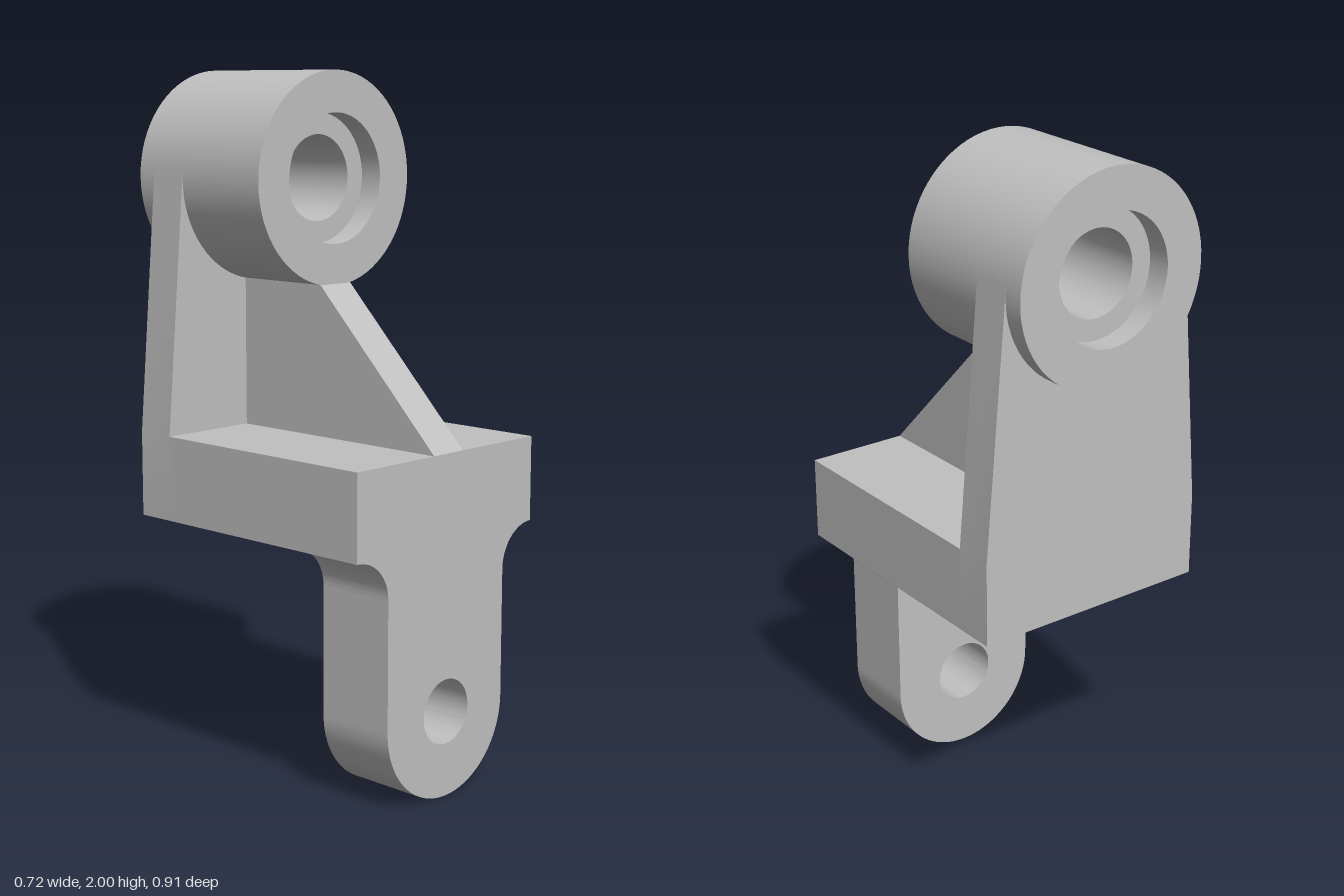
import * as THREE from 'three';
import { toCreasedNormals } from 'three/addons/utils/BufferGeometryUtils.js';

const HUB_Y = 1.7, HUB_R = 0.3, HUB_BACK = -0.455, HUB_FRONT = 0.03;
const HALF_W = 0.362, SHELF_BOTTOM = 0.73, SHELF_TOP = 0.975;
const PLATE_BACK = -0.395, PLATE_FRONT = -0.275, FRONT = 0.455;

export function createModel() {
  const group = new THREE.Group();
  const metal = new THREE.MeshStandardMaterial({ color: 0xc0c0c0 });
  metal.name = 'grey metal';

  const add = (name, geometry) => {
    const mesh = new THREE.Mesh(toCreasedNormals(geometry, 0.5), metal);
    mesh.name = name;
    group.add(mesh);
    return mesh;
  };
  // Extrude an x/y outline between two z depths
  const extrude = (shape, z0, z1) =>
    new THREE.ExtrudeGeometry(shape, { depth: z1 - z0, bevelEnabled: false, curveSegments: 32 }).translate(0, 0, z0);

  // Hub: tube with a counterbore at each end
  const bore = 0.122, counter = 0.183, depth = 0.07;
  const profile = [
    [HUB_R, HUB_BACK], [HUB_R, HUB_FRONT],
    [counter, HUB_FRONT], [counter, HUB_FRONT - depth],
    [bore, HUB_FRONT - depth], [bore, HUB_BACK + depth],
    [counter, HUB_BACK + depth], [counter, HUB_BACK],
    [HUB_R, HUB_BACK],
  ].map(([r, z]) => new THREE.Vector2(r, z));
  add('hub', new THREE.LatheGeometry(profile, 72).rotateX(Math.PI / 2).translate(0, HUB_Y, 0));

  // Back plate: tapers up to meet the hub at a tangent, cut away inside it
  const tangent = 0.084, inner = HUB_R - 0.004;
  const plate = new THREE.Shape();
  plate.moveTo(-HALF_W, SHELF_BOTTOM);
  plate.lineTo(HALF_W, SHELF_BOTTOM);
  plate.lineTo(HALF_W, SHELF_TOP);
  plate.lineTo(HUB_R * Math.cos(tangent), HUB_Y + HUB_R * Math.sin(tangent));
  plate.absarc(0, HUB_Y, inner, tangent, Math.PI - tangent, true);
  plate.lineTo(-HUB_R * Math.cos(tangent), HUB_Y + HUB_R * Math.sin(tangent));
  plate.lineTo(-HALF_W, SHELF_TOP);
  add('backPlate', extrude(plate, PLATE_BACK, PLATE_FRONT));

  // Shelf reaching forward from the back plate
  const shelf = new THREE.BoxGeometry(2 * HALF_W, SHELF_TOP - SHELF_BOTTOM, FRONT - PLATE_FRONT);
  shelf.translate(0, (SHELF_TOP + SHELF_BOTTOM) / 2, (FRONT + PLATE_FRONT) / 2);
  add('shelf', shelf);

  // Sloping rib: side outline drawn in (-z, y), then turned to run along z
  const ribHalf = 0.06;
  const rib = new THREE.Shape([
    [-FRONT, SHELF_TOP], [-PLATE_FRONT, SHELF_TOP], [-PLATE_FRONT, 1.42],
    [-0.015, 1.42], [-HUB_FRONT, 1.405],
  ].map(([x, y]) => new THREE.Vector2(x, y)));
  add('rib', extrude(rib, -ribHalf, ribHalf).rotateY(Math.PI / 2));

  // Lower lug: round end with a pin hole, filleted into the shelf
  const r = 0.24, f = HALF_W - r;
  const lug = new THREE.Shape();
  lug.moveTo(-HALF_W, SHELF_BOTTOM);
  lug.absarc(-HALF_W, SHELF_BOTTOM - f, f, Math.PI / 2, 0, true);
  lug.absarc(0, r, r, Math.PI, 2 * Math.PI, false);
  lug.absarc(HALF_W, SHELF_BOTTOM - f, f, Math.PI, Math.PI / 2, true);
  lug.holes.push(new THREE.Path().absarc(0, 0.245, 0.093, 0, 2 * Math.PI, true));
  add('lug', extrude(lug, 0.215, FRONT));

  return group;
}
